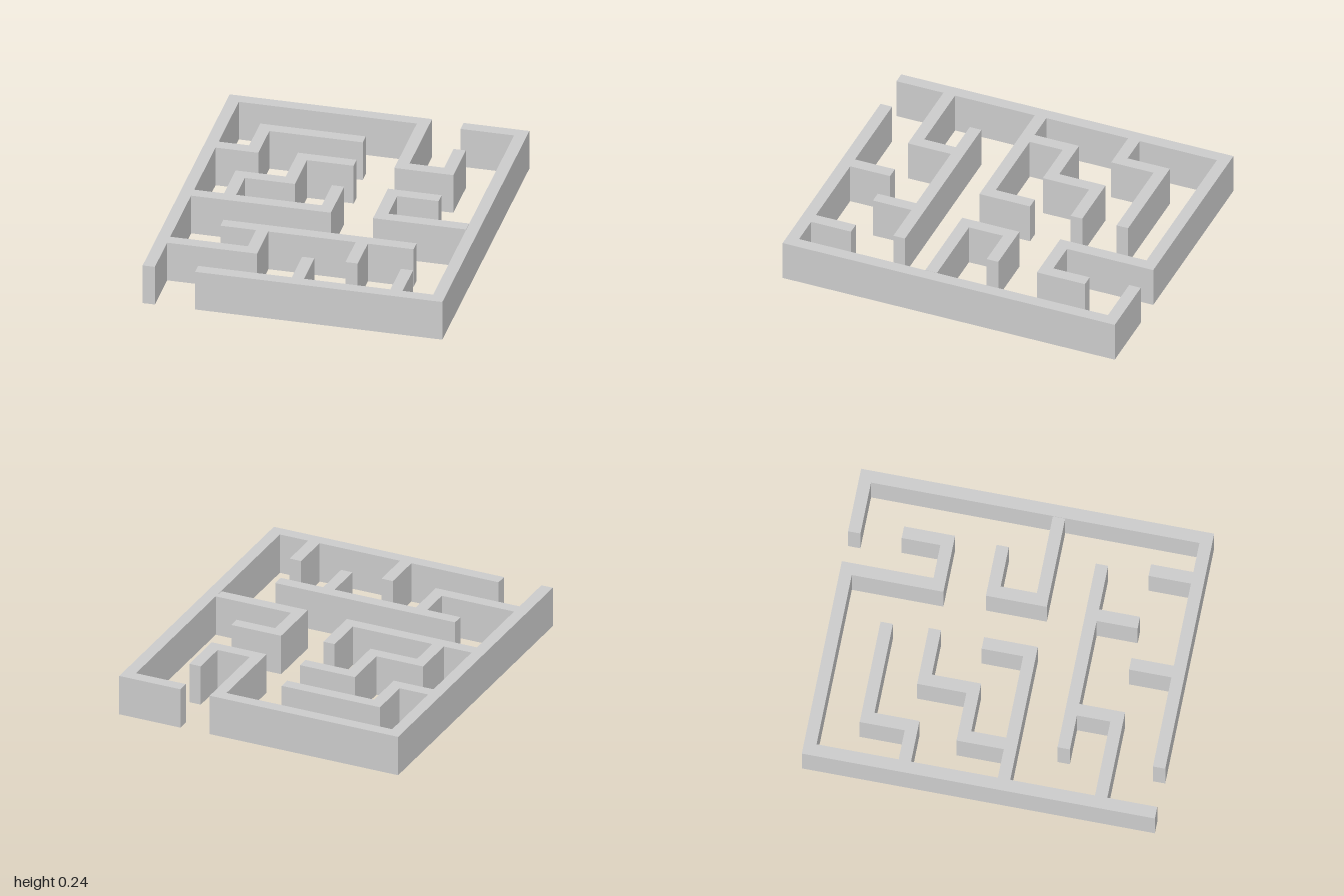
import * as THREE from 'three';

const HEIGHT = 0.24;
const HALF = 0.035; // half the wall thickness

const material = new THREE.MeshStandardMaterial({ color: 0xcccccc, flatShading: true });

// Extrudes a wall of constant thickness along a right-angled centreline of [x, z] points.
function wall(name, path) {
  const pts = path.map(([x, z]) => new THREE.Vector2(x, -z));
  const normals = pts.slice(1).map((p, i) => {
    const d = p.clone().sub(pts[i]).normalize();
    return new THREE.Vector2(-d.y, d.x);
  });
  // Mitred offset: at a right-angled corner the two segment normals simply add up
  const offset = (side) => pts.map((p, i) => {
    const n = new THREE.Vector2();
    if (i > 0) n.add(normals[i - 1]);
    if (i < normals.length) n.add(normals[i]);
    return p.clone().addScaledVector(n, side * HALF);
  });
  const shape = new THREE.Shape([...offset(1), ...offset(-1).reverse()]);
  const geometry = new THREE.ExtrudeGeometry(shape, { depth: HEIGHT, bevelEnabled: false });
  geometry.rotateX(-Math.PI / 2);
  const mesh = new THREE.Mesh(geometry, material);
  mesh.name = name;
  return mesh;
}

export function createModel() {
  const maze = new THREE.Group();
  maze.name = 'maze';
  const L = -0.79, R = 0.785; // inner faces of the side walls

  const walls = {
    // Outer walls, with an opening at the back and one at the front
    leftOuterWall: [[-0.825, 1], [-0.825, -0.965], [0.265, -0.965], [0.265, -0.446], [0.533, -0.446], [0.533, -0.70]],
    rightOuterWall: [[0.48, -0.965], [0.822, -0.965], [0.822, 0.965], [-0.56, 0.965]],

    // Inner walls joined to the left side
    backStepWall: [[L, -0.43], [-0.58, -0.43], [-0.58, -0.685], [-0.01, -0.685]],
    middleHookWall: [[L, 0.132], [-0.024, 0.132], [-0.024, -0.138]],
    stairWall: [[-0.584, 0.097], [-0.584, -0.136], [-0.297, -0.136], [-0.297, -0.415], [0.005, -0.415]],
    frontLeftWall: [[L, 0.682], [-0.31, 0.682], [-0.31, 0.458]],
    crossWall: [[-0.55, 0.423], [0.557, 0.423]],
    crossWallStub: [[0.26, 0.458], [0.26, 0.69]],

    // Inner walls joined to the right side and the front
    rightHookWall: [[R, 0.135], [0.288, 0.135], [0.288, -0.14], [0.56, -0.14]],
    frontStubLeft: [[0.012, 0.93], [0.012, 0.69]],
    frontStubRight: [[0.577, 0.93], [0.577, 0.69]],
  };
  for (const [name, path] of Object.entries(walls)) maze.add(wall(name, path));
  return maze;
}
